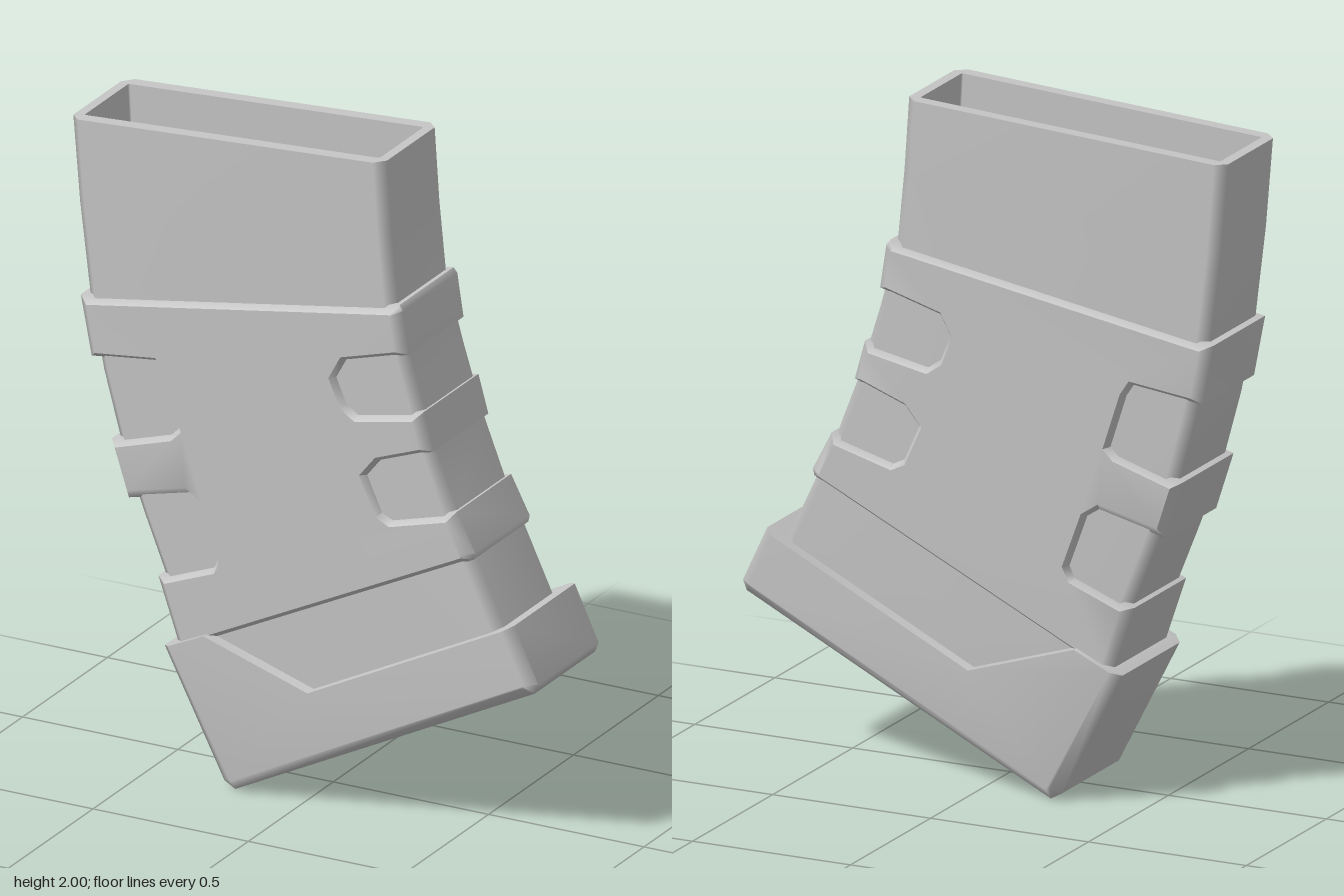
import * as THREE from 'three';

// Area-weighted normals that keep edges steeper than 0.85 radians sharp
function smooth(indexed) {
  const g = indexed.toNonIndexed(), pos = g.attributes.position;
  const corner = i => new THREE.Vector3().fromBufferAttribute(pos, i);
  const faces = [], around = {}, keys = [], normals = [];
  for (let i = 0; i < pos.count; i += 3) {
    const a = corner(i);
    const weighted = corner(i + 1).sub(a).cross(corner(i + 2).sub(a));
    const face = { weighted, unit: weighted.clone().normalize() };
    faces.push(face);
    for (let k = i; k < i + 3; k++) {
      keys[k] = corner(k).toArray().map(v => v.toFixed(4)).join();
      (around[keys[k]] ??= []).push(face);
    }
  }
  for (let i = 0; i < pos.count; i++) {
    const own = faces[Math.floor(i / 3)].unit, sum = new THREE.Vector3();
    for (const f of around[keys[i]]) if (f.unit.dot(own) > Math.cos(0.85)) sum.add(f.weighted);
    normals.push(...sum.normalize().toArray());
  }
  g.setAttribute('normal', new THREE.Float32BufferAttribute(normals, 3));
  return g;
}

// Joins equal-length rings of points into a skin; caps are index triples
function skin(rings, caps) {
  const n = rings[0].length, idx = [...caps];
  for (let k = 0; k < rings.length - 1; k++) {
    for (let i = 0; i < n; i++) {
      const a = k * n + i, b = k * n + (i + 1) % n;
      idx.push(a, b, b + n, a, b + n, a + n);
    }
  }
  const g = new THREE.BufferGeometry();
  g.setAttribute('position', new THREE.Float32BufferAttribute(rings.flat(2), 3));
  g.setIndex(idx);
  return smooth(g);
}

// Moves each outline edge inwards by its own amount
function inset(pts, amounts) {
  const n = pts.length;
  const normals = pts.map((p, i) => {
    const q = pts[(i + 1) % n], l = Math.hypot(q[0] - p[0], q[1] - p[1]);
    return [(p[1] - q[1]) / l, (q[0] - p[0]) / l];
  });
  return pts.map((p, i) => {
    const j = (i + n - 1) % n, a = normals[j], b = normals[i], ea = amounts[j], eb = amounts[i];
    const det = a[0] * b[1] - a[1] * b[0];
    if (Math.abs(det) < 0.1) {
      const e = (ea + eb) / 2 / (1 + a[0] * b[0] + a[1] * b[1]);
      return [p[0] + (a[0] + b[0]) * e, p[1] + (a[1] + b[1]) * e];
    }
    return [p[0] + (ea * b[1] - eb * a[1]) / det, p[1] + (a[0] * eb - b[0] * ea) / det];
  });
}

// Thick plate with chamfered front and back edges
function plate(pts, amounts, depth, chamfer) {
  const small = inset(pts, amounts), n = pts.length;
  const at = (list, z) => list.map(([x, y]) => [x, y, z]);
  const tris = THREE.ShapeUtils.triangulateShape(small.map(p => new THREE.Vector2(...p)), []);
  const caps = [];
  for (const [a, b, c] of tris) caps.push(c, b, a, a + 3 * n, b + 3 * n, c + 3 * n);
  return skin([at(small, -depth), at(pts, chamfer - depth),
    at(pts, depth - chamfer), at(small, depth)], caps);
}

// Chamfered rectangular section between a left and a right point
function section(L, R, d, c, trim = 0) {
  const len = Math.hypot(R[0] - L[0], R[1] - L[1]);
  const ux = (R[0] - L[0]) / len, uy = (R[1] - L[1]) / len;
  const l = trim, r = len - trim;
  return [[r, d - c], [r, c - d], [r - c, -d], [l + c, -d],
    [l, c - d], [l, d - c], [l + c, d], [r - c, d]]
    .map(([s, z]) => [L[0] + ux * s, L[1] + uy * s, z]);
}

function bodyGeometry() {
  const left = [[-0.28, 0.16], [-0.38, 0.41], [-0.45, 0.57], [-0.53, 0.77], [-0.6, 0.96],
    [-0.66, 1.18], [-0.705, 1.41], [-0.738, 1.68], [-0.76, 1.94]];
  const right = [[0.66, 0.58], [0.625, 0.66], [0.55, 0.82], [0.475, 0.98], [0.405, 1.16],
    [0.34, 1.37], [0.287, 1.56], [0.265, 1.78], [0.25, 2.0]];
  const rings = left.map((L, i) => section(L, right[i], 0.17, 0.03));
  // Rim and recessed floor of the open top
  const L = left[8], R = right[8];
  rings.push(section(L, R, 0.13, 0.004, 0.03));
  rings.push(section([L[0] + 0.009, L[1] - 0.17], [R[0] + 0.009, R[1] - 0.17], 0.13, 0.004, 0.03));
  const o = (rings.length - 1) * 8, caps = [];
  for (let i = 1; i < 7; i++) caps.push(o, o + i, o + i + 1);
  return skin(rings, caps);
}

export function createModel() {
  const group = new THREE.Group();
  group.name = 'curvedCase';
  const grey = new THREE.MeshStandardMaterial({ color: 0xc5c5c5 });
  grey.name = 'lightGrey';
  const add = (name, geometry) => {
    const mesh = new THREE.Mesh(geometry, grey);
    mesh.name = name;
    group.add(mesh);
  };

  add('body', bodyGeometry());

  // Raised sleeve with two grip notches on each edge
  const sleeve = [
    [-0.725, 1.405], [-0.69, 1.225],
    [-0.48, 1.25], [-0.46, 1.22], [-0.41, 1.065], [-0.43, 1.045], [-0.625, 0.985],
    [-0.57, 0.815],
    [-0.365, 0.865], [-0.335, 0.845], [-0.28, 0.695], [-0.295, 0.665], [-0.475, 0.595],
    [-0.405, 0.39], [-0.28, 0.445], [0.54, 0.845], [0.545, 0.865],
    [0.485, 0.98],
    [0.285, 0.925], [0.255, 0.94], [0.21, 1.04], [0.25, 1.09], [0.412, 1.15],
    [0.38, 1.265],
    [0.175, 1.225], [0.14, 1.25], [0.11, 1.32], [0.14, 1.375], [0.332, 1.43],
    [0.312, 1.56], [0.3, 1.575],
  ];
  // The outer ends get an even, soft chamfer; notches, top and bottom a crisp one
  const softEdges = [0, 7, 12, 15, 16, 22, 28, 29];
  add('sleeve', plate(sleeve, sleeve.map((p, i) => softEdges.includes(i) ? 0.03 : 0.02), 0.19, 0.03));

  // Base cover with a V-shaped dip in its upper edge
  const base = [
    [-0.445, 0.395], [-0.253, 0.02], [-0.218, 0.0], [0.745, 0.482], [0.757, 0.512],
    [0.68, 0.677], [0.03, 0.352], [-0.305, 0.46],
  ];
  add('baseCover', plate(base, [0.03, 0.03, 0.03, 0.03, 0.03, 0, 0, 0], 0.208, 0.03));

  return group;
}
